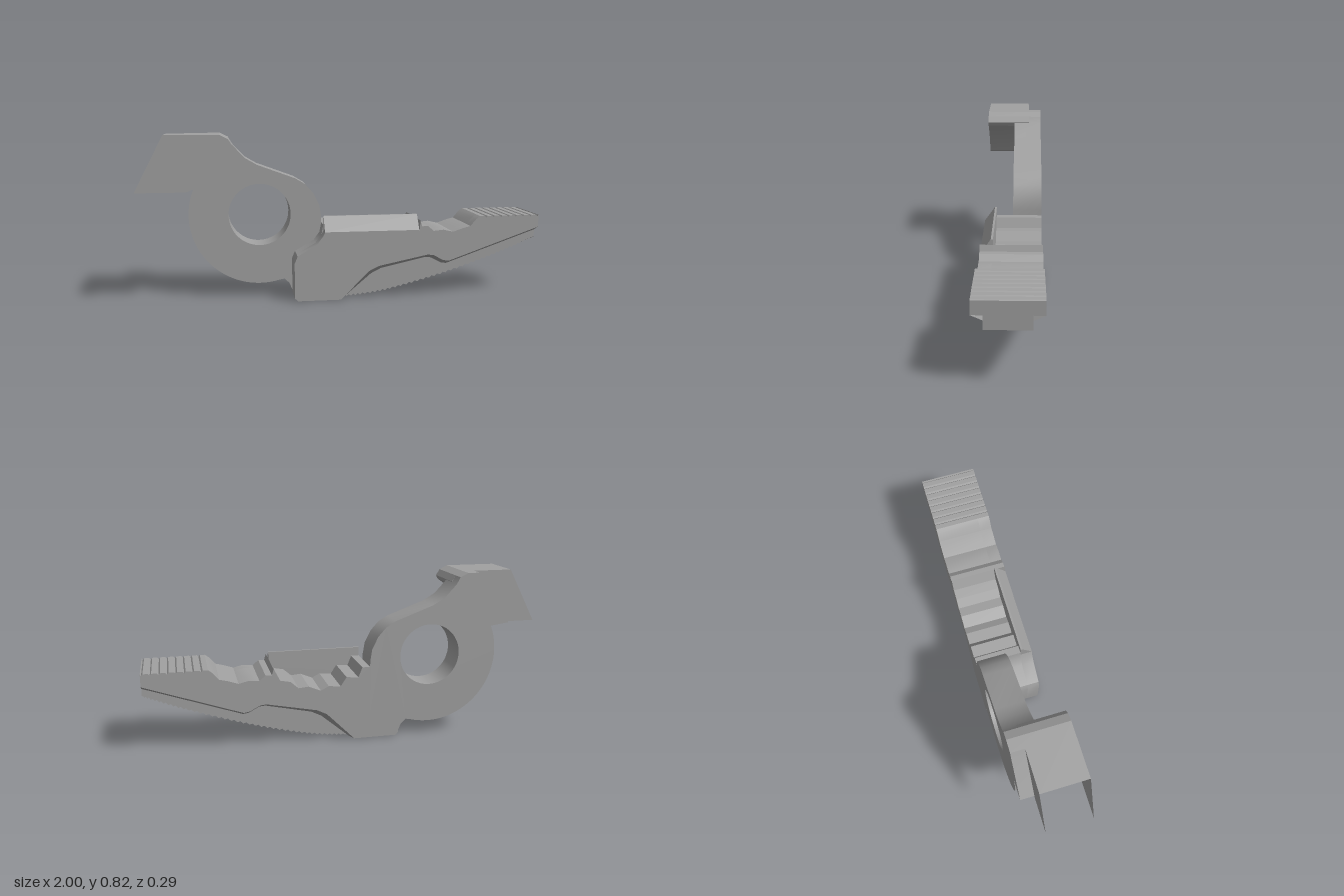
import * as THREE from 'three';
import { toCreasedNormals } from 'three/addons/utils/BufferGeometryUtils.js';

const W = 0.147; // half thickness of the tool

const toShape = (pts) => new THREE.Shape(pts.map(([x, y]) => new THREE.Vector2(x, y)));

// Flat profile in x/y, extruded between two z positions
function plate(shape, z0, z1) {
  const g = new THREE.ExtrudeGeometry(shape, { depth: z1 - z0, bevelEnabled: false, curveSegments: 32 });
  g.translate(0, 0, z0);
  return toCreasedNormals(g, 0.45);
}

// Ruled strip between two 3D point rows
function ruled(a, b) {
  const pos = [];
  for (let i = 0; i < a.length - 1; i++) {
    pos.push(...a[i], ...b[i], ...b[i + 1], ...a[i], ...b[i + 1], ...a[i + 1]);
  }
  const g = new THREE.BufferGeometry();
  g.setAttribute('position', new THREE.Float32BufferAttribute(pos, 3));
  g.computeVertexNormals();
  return toCreasedNormals(g, 0.45);
}

export function createModel() {
  const group = new THREE.Group();
  const steel = new THREE.MeshStandardMaterial({ color: 0xa0a0a0, side: THREE.DoubleSide });
  steel.name = 'steelGrey';
  const add = (name, geometry) => {
    const m = new THREE.Mesh(geometry, steel);
    m.name = name;
    group.add(m);
  };

  // Pivot ring with its rear lug
  const cx = -0.41, cy = 0.415, ring = [[-0.1, 0.12], [-0.24, 0], [-0.265, 0.06], [-0.29, 0.083]];
  for (let i = 0; i <= 36; i++) {
    const a = THREE.MathUtils.degToRad(-75 - (127 * i) / 36);
    ring.push([cx + 0.35 * Math.cos(a), cy + 0.35 * Math.sin(a)]);
  }
  ring.push([-0.83, 0.56], [-0.68, 0.78], [-0.66, 0.82], [-0.6, 0.82], [-0.56, 0.8], [-0.54, 0.765],
    [-0.48, 0.7], [-0.42, 0.665], [-0.23, 0.595], [-0.18, 0.565], [-0.14, 0.52], [-0.11, 0.46], [-0.1, 0.4]);
  const ringShape = toShape(ring);
  ringShape.holes.push(new THREE.Path().absarc(cx, cy, 0.155, 0, Math.PI * 2, true));
  add('pivotRing', plate(ringShape, -W, 0));

  // Handle stub: walls left open at the cut end
  const stub = [[-1, 0.55], [-0.76, 0.55], [-0.725, 0.565], [-0.7, 0.61], [-0.65, 0.67], [-0.6, 0.715],
    [-0.55, 0.75], [-0.54, 0.77], [-0.56, 0.8], [-0.6, 0.82], [-0.86, 0.82]];
  for (const [name, z] of [['stubFrontWall', W], ['stubBackWall', -0.08]]) {
    const g = new THREE.ShapeGeometry(toShape(stub));
    g.translate(0, 0, z);
    add(name, g);
  }
  const rim = stub.slice(1);
  add('stubTopAndShoulder', ruled(rim.map(([x, y]) => [x, y, W]), rim.map(([x, y]) => [x, y, -0.08])));

  // Upper edge of the gripping tip, with fine teeth
  const tip = [[0.38, 0.39], [0.39, 0.36], [0.42, 0.36], [0.45, 0.335], [0.5, 0.34], [0.55, 0.328],
    [0.6, 0.345], [0.64, 0.355], [0.67, 0.39]];
  for (let i = 0; i < 8; i++) {
    tip.push([0.69 + i * 0.039, 0.405], [0.715 + i * 0.039, 0.405], [0.722 + i * 0.039, 0.397]);
  }
  tip.push([1, 0.405]);

  // Lower edge of the wide part, from the tip back to the heel
  const ledge = [[1, 0.343], [0.53, 0.18], [0.5, 0.185], [0.45, 0.212], [0.42, 0.215], [0.17, 0.165],
    [0.12, 0.14], [-0.02, 0]];
  const heel = [[-0.235, 0], [-0.25, 0.015], [-0.25, 0.19], [-0.235, 0.225], [-0.14, 0.28], [-0.11, 0.32]];

  // Wavy grip between the pivot and the tip, lower than the front lip
  const grip = [[-0.1, 0.37], [-0.06, 0.37], [-0.04, 0.32], [0.02, 0.325], [0.05, 0.28], [0.11, 0.285],
    [0.15, 0.265], [0.21, 0.29], [0.26, 0.285], [0.3, 0.32], [0.35, 0.33]];
  add('jawBody', plate(toShape([...heel, ...grip, ...tip, ...ledge]), -W, 0.085));
  add('jawFrontSide', plate(toShape([...heel, [-0.1, 0.34], [0.378, 0.34], ...tip, ...ledge]), 0.085, W));

  // Sloped lip along the front of the grip
  const lip = plate(toShape([[-W, 0.335], [-0.085, 0.335], [-0.085, 0.415], [-0.095, 0.415], [-W, 0.342]]), -0.1, 0.375);
  lip.rotateY(Math.PI / 2);
  add('frontLip', lip);

  // Narrow ribbed underside
  const curve = new THREE.SplineCurve([[-0.03, 0], [0.2, 0.025], [0.5, 0.1], [0.8, 0.2], [1, 0.28]]
    .map(([x, y]) => new THREE.Vector2(x, y)));
  const belly = [];
  const ribs = 42;
  for (let i = 0; i <= ribs * 2; i++) {
    const p = curve.getPoint(i / (ribs * 2));
    belly.push([p.x, p.y + (i % 2 ? 0.009 : 0)]);
  }
  add('ribbedUnderside', plate(toShape([...belly, [1, 0.36], [0.52, 0.22], [0.43, 0.25], [0.13, 0.19], [-0.03, 0.05]]), -0.098, 0.098));

  // Sloped ledges joining the wide and narrow parts on both sides
  for (const s of [1, -1]) {
    add(s > 0 ? 'frontLedge' : 'backLedge', ruled(
      ledge.map(([x, y]) => [x, y, s * W]),
      ledge.map(([x, y], i) => [x + (i > 4 ? 0.02 : 0), Math.max(0, y - 0.022), s * 0.098])));
  }
  return group;
}
